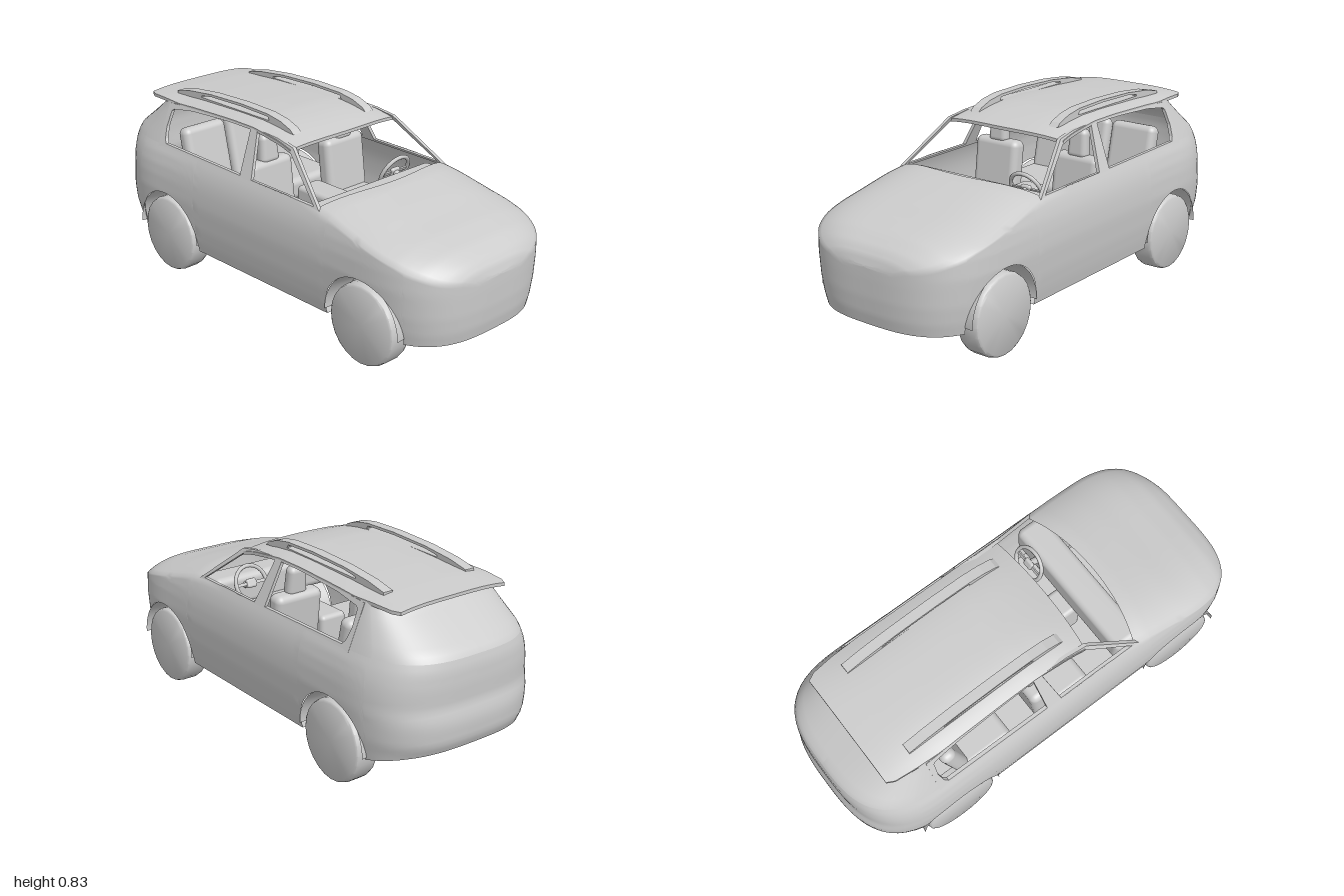
import * as THREE from 'three';
import { mergeGeometries, toCreasedNormals } from 'three/addons/utils/BufferGeometryUtils.js';
import { RoundedBoxGeometry } from 'three/addons/geometries/RoundedBoxGeometry.js';

const grey = new THREE.MeshStandardMaterial({ color: 0xcccccc, side: THREE.DoubleSide });

function add(parent, name, geometry, x = 0, y = 0, z = 0) {
  const mesh = new THREE.Mesh(geometry, grey);
  mesh.name = name;
  mesh.position.set(x, y, z);
  parent.add(mesh);
  return mesh;
}

// Piecewise value from [key, value] pairs with rising keys
function along(table, k) {
  if (k <= table[0][0]) return table[0][1];
  for (let i = 1; i < table.length; i++) {
    const [a, va] = table[i - 1], [b, vb] = table[i];
    if (k <= b) return va + ((vb - va) * (k - a)) / (b - a);
  }
  return table[table.length - 1][1];
}

// Surface through equal-length lines of [x, y, z] points
function skin(lines) {
  const n = lines[0].length, index = [];
  for (let i = 0; i < lines.length - 1; i++)
    for (let j = 0; j < n - 1; j++) {
      const a = i * n + j, b = a + n;
      index.push(a, b, a + 1, b, b + 1, a + 1);
    }
  const g = new THREE.BufferGeometry();
  g.setAttribute('position', new THREE.Float32BufferAttribute(lines.flat(2), 3));
  g.setIndex(index);
  g.computeVertexNormals();
  return g;
}

const steps = (n, fn) => Array.from({ length: n + 1 }, (_, i) => fn(i / n));
const mirrored = (p) => [-p[0], p[1], p[2]];

// Body rules
const ARCH = 0.2, ARCH_Y = 0.178, AXLES = [0.64, -0.58];
const WIDTH = [[0.15, 0.93], [0.2, 0.955], [0.27, 0.98], [0.38, 1], [0.45, 0.992], [0.5, 0.975], [0.55, 0.94], [0.585, 0.9]];
const FRONT = [[0.15, 0.955], [0.2, 0.98], [0.27, 0.995], [0.35, 1]];
const REAR = [[0.2, 0.92], [0.25, 0.985], [0.32, 1], [0.35, 0.995], [0.4, 0.962], [0.48, 0.972], [0.55, 0.967], [0.6, 0.935], [0.75, 0.4]];
const HOOD = [[0.36, 0.615], [0.43, 0.61], [0.6, 0.578], [0.8, 0.533], [0.9, 0.502], [0.96, 0.465], [0.985, 0.435], [1, 0.395]];
const HOOD_DROP = [[0.36, 0.04], [0.6, 0.055], [0.9, 0.055], [0.96, 0.045], [1, 0.012]];
const ROOF = [[-0.83, 0.775], [-0.7, 0.79], [-0.5, 0.802], [-0.25, 0.81], [-0.1, 0.81], [0, 0.8], [0.08, 0.785], [0.16, 0.763]];

const cabinX = (y) => 0.372 - (y - 0.585) * 0.42;
const halfWidth = (y) => (y > 0.585 ? cabinX(y) : 0.413 * along(WIDTH, y));
const hoodEdge = (z) => along(HOOD, z) - along(HOOD_DROP, z);

// Point on the outer skin for a plan column [fraction of width, z] at height y
function bodyPoint([w, z], y) {
  let zz = z;
  if (z > 0.6) zz = 0.6 + (z - 0.6) * along(FRONT, y);
  if (z < -0.62) zz = -0.62 + (z + 0.62) * along(REAR, y);
  return [w * halfWidth(y), y, zz];
}

const inArch = (z) => AXLES.find((c) => Math.abs(z - c) < ARCH);
const sill = (z) => (z < -0.78 ? 0.165 + (-0.78 - z) * 0.22 : 0.15);
function bottom(z) {
  const c = inArch(z);
  return c === undefined ? sill(z) : ARCH_Y + Math.sqrt(ARCH ** 2 - (z - c) ** 2);
}

// Plan columns of the left half, nose to tail
function planColumns() {
  const cap = (a, sign) => [Math.sin(a) ** (2 / 3), sign * (0.6 + 0.4 * Math.cos(a) ** (2 / 3))];
  const side = (z) => [Math.cbrt(1 - (Math.max(0, Math.abs(z) - 0.6) / 0.4) ** 3), z];
  const arch = (c) => [side(c + ARCH + 0.001),
    ...steps(24, (t) => side(c + (ARCH - 0.0005) * Math.cos(Math.PI * t))), side(c - ARCH - 0.001)];
  return [
    ...steps(18, (t) => cap(1.05 * t ** 1.4, 1)), ...arch(AXLES[0]),
    ...[0.4, 0.36, 0.2, 0, -0.2, -0.34].map(side),
    ...arch(AXLES[1]), ...steps(16, (t) => cap(1.24 * (1 - t) ** 1.4, -1)),
  ];
}

function buildBody(car) {
  const cols = planColumns();
  const wall = (list, low, high, n) => {
    const half = list.map((c) => steps(n, (t) => bodyPoint(c, low(c[1]) + (high(c[1]) - low(c[1])) * t)));
    return half;
  };
  const flip = (half) => half.map((line) => line.map(mirrored)).reverse();

  // Lower sides, nose and tail
  const lower = wall(cols, bottom, (z) => (z >= 0.359 ? hoodEdge(z) : 0.585), 18);
  const sides = skin([...lower, ...flip(lower)]);

  // Crowned hood, its rear edge bowed forward
  const hood = skin(cols.filter((c) => c[1] >= 0.359).map(([w, z]) => steps(32, (t) => {
    const u = 1 - 2 * t, bow = 0.07 * (1 - u * u) * Math.max(0, (0.7 - z) / 0.34);
    const edge = bodyPoint([w, z], hoodEdge(z));
    return [edge[0] * u, edge[1] + along(HOOD_DROP, z) * (1 - u ** 4), z + bow];
  })));
  add(car, 'bodyShell', toCreasedNormals(mergeGeometries([sides, hood]), 1.1));

  // Rear quarters and tailgate up to the roof
  const upper = wall(cols.filter((c) => c[1] <= -0.65), () => 0.585, () => 0.762, 8);
  add(car, 'tailgate', skin([...upper, ...flip(upper)]));

  // Underfloor, narrowed between the wheels
  add(car, 'underfloor', skin(cols.map((c) => {
    const y = sill(c[1]), p = bodyPoint(c, y);
    const x = inArch(c[1]) === undefined ? p[0] : 0.28;
    return [[x, y, p[2]], [-x, y, p[2]]];
  })));
}

// Closed roof panel with a rear lip
function buildRoof(car) {
  const lines = steps(30, (t) => {
    const z = 0.16 - 0.99 * t, crown = along(ROOF, z);
    const drop = along([[-0.83, 0.012], [-0.6, 0.03], [0, 0.03], [0.16, 0.016]], z);
    const half = (cabinX(crown - drop) + 0.003) * along([[-0.83, 0.88], [-0.8, 0.94], [-0.7, 0.98], [-0.55, 1]], z);
    const row = (sink) => steps(20, (s) => {
      const u = 1 - 2 * s;
      return [u * half, crown - drop * Math.abs(u) ** 3.5 - sink, z - 0.02 * u * u * Math.max(0, 1 - t * 5)];
    });
    const top = row(0);
    return [...top, ...row(0.014).reverse(), top[0]];
  });
  const ends = [lines[0], lines[30]].map((l) => skin([l.slice(0, 21), l.slice(21, 42).reverse()]));
  add(car, 'roof', toCreasedNormals(mergeGeometries([skin(lines), ...ends]), 0.8));
}

const outline = (Type, pts) => new Type(pts.map(([z, y]) => new THREE.Vector2(z, y)));

// Pillars and window frames on one side
function buildWindowFrame(car, side) {
  const shape = outline(THREE.Shape, [[0.385, 0.572], [0.15, 0.757], [0.05, 0.772], [-0.1, 0.778],
    [-0.35, 0.775], [-0.66, 0.757], [-0.66, 0.572]]);
  shape.holes.push(
    outline(THREE.Path, [[0.35, 0.582], [-0.03, 0.584], [-0.075, 0.768], [0, 0.763], [0.07, 0.755], [0.13, 0.746]]),
    outline(THREE.Path, [[-0.103, 0.586], [-0.61, 0.592], [-0.625, 0.61], [-0.637, 0.66], [-0.633, 0.728],
      [-0.62, 0.737], [-0.5, 0.754], [-0.3, 0.765], [-0.118, 0.77]]));
  const g = new THREE.ExtrudeGeometry(shape, { depth: 0.016, bevelEnabled: false });
  const p = g.attributes.position;
  for (let i = 0; i < p.count; i++)
    p.setXYZ(i, side * (cabinX(p.getY(i)) - p.getZ(i)), p.getY(i), p.getX(i));
  g.computeVertexNormals();
  add(car, side > 0 ? 'leftWindowFrame' : 'rightWindowFrame', g);
}

// Slotted roof rail
function buildRail(car, side) {
  const shape = outline(THREE.Shape, [[0.08, 0.778], [0.06, 0.795], [0, 0.817], [-0.08, 0.83], [-0.25, 0.834],
    [-0.45, 0.827], [-0.6, 0.811], [-0.69, 0.792], [-0.69, 0.78], [-0.5, 0.785], [-0.1, 0.79]]);
  shape.holes.push(outline(THREE.Path, [[-0.07, 0.803], [-0.08, 0.818], [-0.25, 0.822], [-0.45, 0.816], [-0.52, 0.806], [-0.52, 0.799]]));
  const g = new THREE.ExtrudeGeometry(shape, { depth: 0.045, bevelEnabled: false });
  g.rotateY(-Math.PI / 2);
  add(car, 'roofRail', g, side * 0.21 + 0.0225);
}

function buildWheel(car, side, z) {
  const profile = [[0, 0], [0.16, 0], [0.168, 0.005], [0.173, 0.02], [0.173, 0.085], [0.168, 0.1], [0.16, 0.105], [0, 0.105]]
    .map(([r, h]) => new THREE.Vector2(r, h));
  const tyre = toCreasedNormals(new THREE.LatheGeometry(profile, 24), 0.7);
  tyre.rotateZ(-Math.PI / 2);
  add(car, 'wheel', tyre, side > 0 ? 0.295 : -0.4, 0.174, z);

  // Arch liner and its inner wall
  const liner = new THREE.CylinderGeometry(ARCH, ARCH - 0.012, 0.12, 28, 1, true, Math.PI / 2, Math.PI);
  liner.rotateX(Math.PI / 2).rotateY(side * Math.PI / 2);
  add(car, 'archLiner', liner, side * 0.34, ARCH_Y, z);
  const wall = new THREE.CircleGeometry(ARCH - 0.01, 28, 0, Math.PI);
  wall.rotateY(side * Math.PI / 2);
  add(car, 'archInnerWall', wall, side * 0.28, ARCH_Y, z);
}

const cushion = (w, h, d, r = 0.03) => new RoundedBoxGeometry(w, h, d, 4, Math.min(r, w / 2.1, h / 2.1, d / 2.1));

function buildInterior(car) {
  const cabin = new THREE.Group();
  cabin.name = 'interior';
  car.add(cabin);
  for (const s of [1, -1]) {
    // Front seat
    add(cabin, 'frontSeatBase', cushion(0.23, 0.1, 0.26), s * 0.215, 0.34, 0.04);
    add(cabin, 'frontSeatBack', cushion(0.23, 0.3, 0.08), s * 0.215, 0.475, -0.09).rotation.x = -0.12;
    const rest = cushion(0.1, 0.13, 0.055, 0.025);
    const p = rest.attributes.position;
    for (let i = 0; i < p.count; i++) p.setX(i, p.getX(i) * (0.92 - p.getY(i) * 1.6));
    add(cabin, 'frontHeadrest', rest, s * 0.215, 0.67, -0.105).rotation.x = -0.1;
    // Rear seat
    add(cabin, 'rearSeatBack', cushion(0.23, 0.32, 0.07), s * 0.205, 0.505, -0.53).rotation.x = -0.22;
  }
  add(cabin, 'rearMiddleBack', cushion(0.15, 0.32, 0.06), 0, 0.505, -0.53).rotation.x = -0.22;
  add(cabin, 'rearBench', cushion(0.66, 0.1, 0.26), 0, 0.35, -0.38);
  add(cabin, 'dashboard', cushion(0.7, 0.14, 0.14), 0, 0.505, 0.36);
  add(cabin, 'centreConsole', cushion(0.13, 0.2, 0.42, 0.02), 0, 0.36, 0.12);
  // Steering wheel, hub, spokes and column
  const wheel = new THREE.Group();
  wheel.name = 'steeringWheel';
  wheel.position.set(0.2, 0.55, 0.245);
  wheel.rotation.x = 0.42;
  cabin.add(wheel);
  add(wheel, 'steeringRim', new THREE.TorusGeometry(0.078, 0.009, 8, 32));
  add(wheel, 'steeringHub', cushion(0.05, 0.04, 0.02, 0.01));
  add(wheel, 'steeringSpoke', new THREE.BoxGeometry(0.15, 0.014, 0.008));
  add(wheel, 'steeringColumn', new THREE.CylinderGeometry(0.015, 0.015, 0.1, 12).rotateX(Math.PI / 2), 0, 0, 0.05);
}

export function createModel() {
  const car = new THREE.Group();
  car.name = 'car';
  buildBody(car);
  buildRoof(car);
  for (const side of [1, -1]) {
    buildWindowFrame(car, side);
    buildRail(car, side);
    for (const z of AXLES) buildWheel(car, side, z);
  }
  buildInterior(car);
  return car;
}
